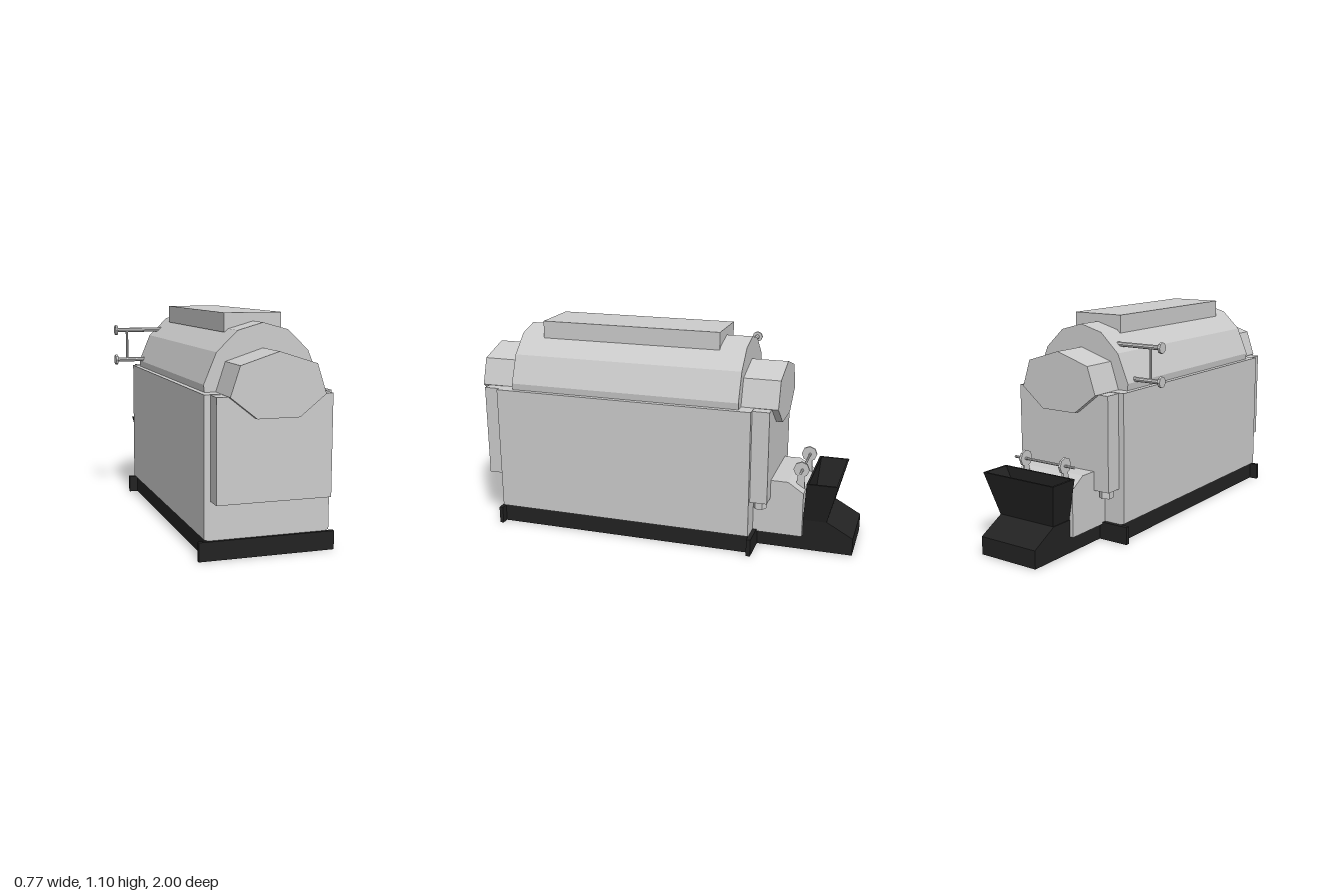
import * as THREE from 'three';

const CX = 0.053; // centre line of the body

export function createModel() {
  const root = new THREE.Group();
  const grey = new THREE.MeshStandardMaterial({ color: 0xcccccc, flatShading: true });
  const black = new THREE.MeshStandardMaterial({ color: 0x222222, flatShading: true, side: THREE.DoubleSide });

  const add = (name, geometry, material = grey) => {
    const mesh = new THREE.Mesh(geometry, material);
    mesh.name = name;
    root.add(mesh);
    return mesh;
  };
  const box = (name, x0, x1, y0, y1, z0, z1, material) =>
    add(name, new THREE.BoxGeometry(x1 - x0, y1 - y0, z1 - z0)
      .translate((x0 + x1) / 2, (y0 + y1) / 2, (z0 + z1) / 2), material);
  const shapeOf = (pts) => new THREE.Shape(pts.map(([a, b]) => new THREE.Vector2(a, b)));
  // (x, y) outline swept along z
  const sweepZ = (name, pts, z0, z1, material) =>
    add(name, new THREE.ExtrudeGeometry(shapeOf(pts), { depth: z1 - z0, bevelEnabled: false })
      .translate(0, 0, z0), material);
  // (z, y) outline swept along x
  const sweepX = (name, pts, x0, x1, material) =>
    add(name, new THREE.ExtrudeGeometry(shapeOf(pts), { depth: x1 - x0, bevelEnabled: false })
      .rotateY(-Math.PI / 2).translate(x1, 0, 0), material);
  // half outline (offset from centre line, y), top to bottom, mirrored
  const mirrored = (half) => [
    ...half.map(([d, y]) => [CX + d, y]),
    ...half.filter(([d]) => d > 0).reverse().map(([d, y]) => [CX - d, y]),
  ];
  const rod = (name, radius, length, sides, axis, x, y, z) => {
    const g = new THREE.CylinderGeometry(radius, radius, length, sides);
    if (axis === 'x') g.rotateZ(Math.PI / 2);
    return add(name, g.translate(x, y, z));
  };

  // Base slab with wider end plates
  box('baseSlab', -0.235, 0.341, 0, 0.09, -0.49, 0.88, black);
  box('frontBasePlate', -0.28, 0.381, 0, 0.09, 0.875, 0.895, black);
  box('backBasePlate', -0.28, 0.381, 0, 0.09, -0.51, -0.488, black);

  // Main housing with a small chamfer at the foot
  sweepZ('housing', mirrored([[0.305, 0.752], [0.305, 0.097], [0.28, 0.088]]), -0.49, 0.88);
  box('frontPanel', -0.222, 0.328, 0.272, 0.75, 0.87, 0.965);
  box('backPanel', -0.222, 0.328, 0.272, 0.75, -0.577, -0.48);
  for (const s of [-1, 1]) rod('panelBolt', 0.035, 0.05, 6, 'y', CX + s * 0.23, 0.258, -0.533);

  // Faceted drum, inner drum and top cover
  sweepZ('upperDrum', mirrored([[0, 1.06], [0.122, 1.026], [0.222, 0.93], [0.282, 0.786], [0.277, 0.74]]), -0.422, 0.8);
  sweepZ('innerDrum', mirrored([[0, 0.945], [0.18, 0.888], [0.225, 0.752], [0.1, 0.653]]), -0.61, 1);
  box('topCover', -0.09, 0.193, 1.01, 1.1, -0.288, 0.67);

  // Side pipes with end flanges and a joining rod
  for (const y of [0.8, 0.966]) {
    rod('sidePipe', 0.012, 0.28, 8, 'x', -0.235, y, -0.355);
    rod('pipeFlange', 0.028, 0.013, 8, 'x', -0.379, y, -0.355);
  }
  rod('joiningRod', 0.007, 0.166, 8, 'y', -0.317, 0.883, -0.355);

  // Feed block behind the housing
  sweepX('feedBlock', [[-0.48, 0.08], [-0.48, 0.368], [-0.665, 0.368], [-0.745, 0.315], [-0.745, 0.08]], -0.135, 0.241);

  // Two round levers on a cross rod
  for (const x of [-0.07, 0.176]) {
    rod('leverDisc', 0.041, 0.012, 8, 'x', x, 0.42, -0.72);
    sweepX('leverArm', [[-0.695, 0.33], [-0.74, 0.31], [-0.735, 0.4], [-0.705, 0.4]], x - 0.006, x + 0.006);
  }
  rod('crossRod', 0.007, 0.37, 8, 'x', CX, 0.42, -0.725);

  // Sloped hopper foot
  sweepX('hopperFoot', [[-0.5, 0], [-0.5, 0.085], [-0.745, 0.085], [-0.745, 0.165], [-0.865, 0.165], [-1, 0.09], [-1, 0]],
    -0.117, 0.216, black);

  // Open hopper: rings of four corners, outside up and inside down
  const rings = [
    [0.166, 0.165, -0.865, -0.745],
    [0.217, 0.38, -0.92, -0.763],
    [0.205, 0.38, -0.91, -0.773],
    [0.128, 0.2, -0.86, -0.762],
  ];
  const pos = [], index = [];
  for (const [w, y, zb, zf] of rings)
    pos.push(CX - w, y, zf, CX + w, y, zf, CX + w, y, zb, CX - w, y, zb);
  for (let r = 0; r < 3; r++)
    for (let i = 0; i < 4; i++) {
      const j = (i + 1) % 4, a = r * 4 + i, b = r * 4 + j;
      index.push(a, b, b + 4, a, b + 4, a + 4);
    }
  index.push(12, 13, 14, 12, 14, 15);
  const hopper = new THREE.BufferGeometry();
  hopper.setAttribute('position', new THREE.Float32BufferAttribute(pos, 3));
  hopper.setIndex(index);
  const flat = hopper.toNonIndexed();
  flat.computeVertexNormals();
  add('hopper', flat, black);

  return root;
}
